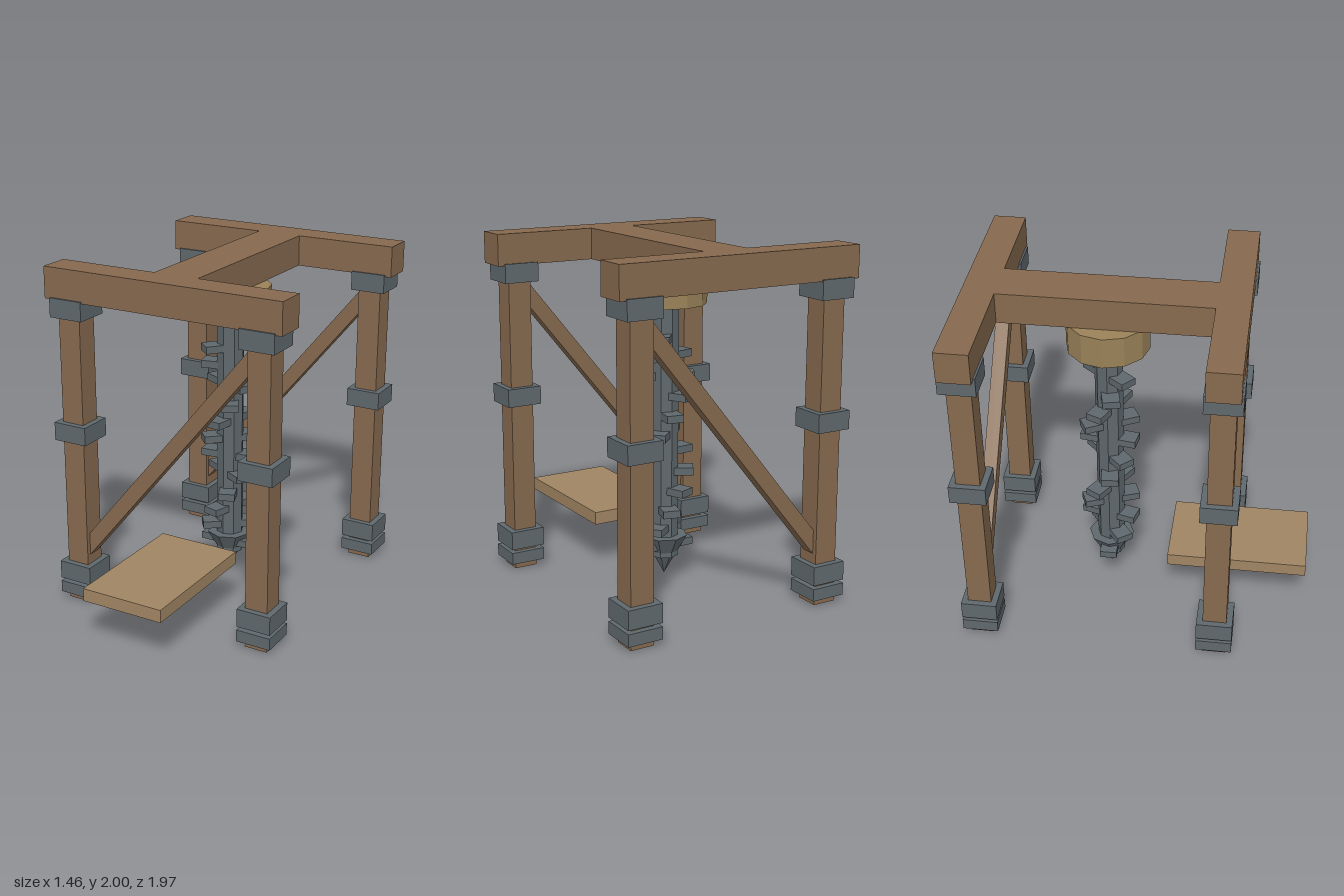
import * as THREE from 'three';

const material = (color) => new THREE.MeshStandardMaterial({ color, flatShading: true });

export function createModel() {
  const model = new THREE.Group();
  const wood = material(0x86694f);
  const plank = material(0xa08563);
  const hubWood = material(0x9a8259);
  const metal = material(0x5f686c);

  const add = (name, geometry, mat, x, y, z, parent = model) => {
    const mesh = new THREE.Mesh(geometry, mat);
    mesh.name = name;
    mesh.position.set(x, y, z);
    parent.add(mesh);
    return mesh;
  };

  const shaftZ = -0.2;
  const legX = 0.59;
  const frontZ = 0.485;
  const backZ = -0.88;

  // H-shaped top frame, drawn in plan (shape y becomes -z)
  const right = [
    [0.73, -0.577], [0.73, -0.393], [0.135, -0.393],
    [0.135, 0.788], [0.73, 0.788], [0.73, 0.972],
  ];
  const left = right.map(([x, y]) => [-x, y]).reverse();
  const outline = new THREE.Shape([...right, ...left].map(([x, y]) => new THREE.Vector2(x, y)));
  const frame = new THREE.ExtrudeGeometry(outline, { depth: 0.18, bevelEnabled: false });
  frame.rotateX(-Math.PI / 2);
  add('topFrame', frame, wood, 0, 1.82, 0);

  // Legs with metal bands: [centre height, band height]
  const bands = [[0.075, 0.07], [0.185, 0.108], [1.053, 0.106], [1.775, 0.11]];
  for (const [end, z] of [['front', frontZ], ['back', backZ]]) {
    for (const [side, x] of [['Left', legX], ['Right', -legX]]) {
      const leg = new THREE.Group();
      leg.name = `${end}${side}Leg`;
      leg.position.set(x, 0, z);
      model.add(leg);
      add('post', new THREE.BoxGeometry(0.136, 1.82, 0.136), wood, 0, 0.91, 0, leg);
      for (const [y, h] of bands) {
        add('band', new THREE.BoxGeometry(0.206, h, 0.206), metal, 0, y, 0, leg);
      }
    }
    // Diagonal brace between the pair of legs
    const brace = add(`${end}Brace`, new THREE.BoxGeometry(1.77, 0.086, 0.08), wood, 0, 1.003, z);
    brace.rotation.z = Math.atan2(1.285, 1.05);
  }

  // Drill: hub, shaft, pointed tip and teeth winding up the shaft
  const drill = new THREE.Group();
  drill.name = 'drill';
  drill.position.z = shaftZ;
  model.add(drill);
  add('hub', new THREE.CylinderGeometry(0.235, 0.235, 0.18, 12), hubWood, 0, 1.73, 0, drill);
  add('shaft', new THREE.CylinderGeometry(0.081, 0.081, 1.5, 8), metal, 0, 0.915, 0, drill);
  add('tip', new THREE.CylinderGeometry(0.135, 0, 0.24, 8), metal, 0, 0.17, 0, drill);
  for (let i = 0; i < 12; i++) {
    const tooth = add('tooth', new THREE.BoxGeometry(0.33, 0.043, 0.1), metal, 0, 0.233 + i * 0.111, 0, drill);
    tooth.rotation.y = i * 0.65;
  }

  // Low platform at the front
  add('platform', new THREE.BoxGeometry(0.496, 0.075, 0.815), plank, 0, 0.313, 0.576);

  return model;
}
